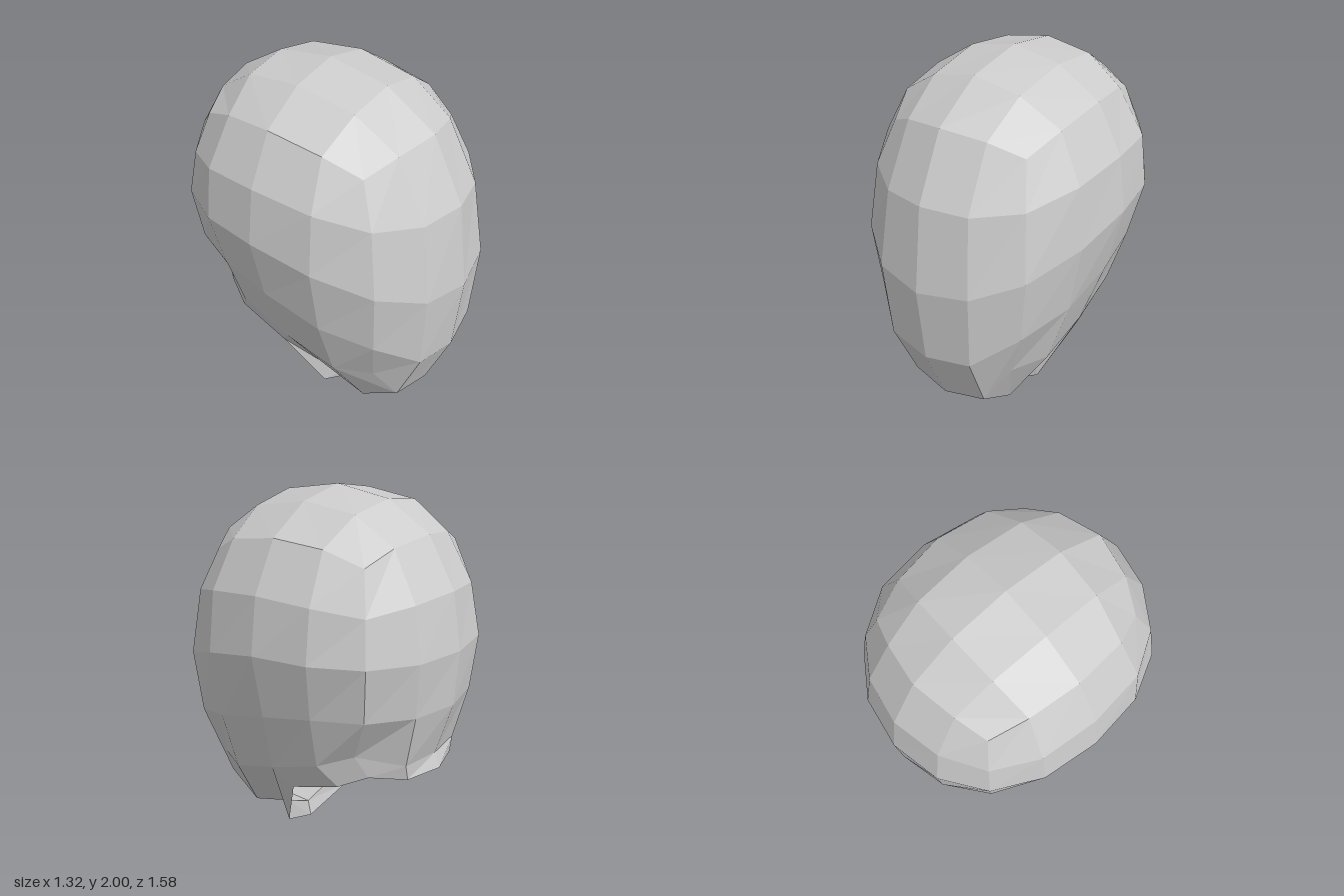
import * as THREE from 'three';

const material = new THREE.MeshStandardMaterial({ color: 0xcccccc, flatShading: true, side: THREE.DoubleSide });

// Flat-shaded quads over rows of [x, y, z] points
function gridMesh(rows, name) {
  const pos = [];
  for (let i = 0; i < rows.length - 1; i++) {
    for (let j = 0; j < rows[i].length - 1; j++) {
      const a = rows[i][j], b = rows[i][j + 1], c = rows[i + 1][j + 1], d = rows[i + 1][j];
      pos.push(...a, ...b, ...c, ...a, ...c, ...d);
    }
  }
  const geo = new THREE.BufferGeometry();
  geo.setAttribute('position', new THREE.Float32BufferAttribute(pos, 3));
  geo.computeVertexNormals();
  const mesh = new THREE.Mesh(geo, material);
  mesh.name = name;
  return mesh;
}

// Mirrored row in reversed order, so faces keep pointing outward
const mirrorRow = row => row.map(([x, y, z]) => [-x, y, z]).reverse();

// Lengthwise lines from under the chin, up the face, over the crown, down the back
const middle = [
  [0, 0.09, 0.18], [0, 0.09, 0.40], [0, 0.24, 0.61], [0, 0.57, 0.75], [0, 0.99, 0.79],
  [0, 1.44, 0.73], [0, 1.77, 0.56], [0, 1.94, 0.29], [0, 2.0, -0.04], [0, 1.96, -0.35],
  [0, 1.82, -0.59], [0, 1.57, -0.74], [0, 1.28, -0.79], [0, 0.99, -0.77], [0, 0.70, -0.68],
];
const quarter = [
  [0.25, 0.235, 0.11], [0.25, 0.155, 0.36], [0.23, 0.27, 0.57], [0.25, 0.60, 0.71], [0.27, 1.02, 0.735],
  [0.24, 1.43, 0.675], [0.23, 1.74, 0.51], [0.25, 1.89, 0.28], [0.26, 1.95, -0.04], [0.25, 1.92, -0.34],
  [0.23, 1.79, -0.55], [0.25, 1.55, -0.69], [0.27, 1.28, -0.74], [0.25, 0.99, -0.715], [0.22, 0.70, -0.65],
];
const edge = [
  [0.475, 0.575, 0.02], [0.45, 0.48, 0.30], [0.35, 0.47, 0.49], [0.45, 0.75, 0.55], [0.485, 1.10, 0.57],
  [0.45, 1.45, 0.52], [0.39, 1.67, 0.43], [0.46, 1.76, 0.25], [0.485, 1.81, -0.04], [0.45, 1.79, -0.31],
  [0.39, 1.72, -0.50], [0.455, 1.51, -0.56], [0.49, 1.28, -0.59], [0.455, 0.99, -0.56], [0.38, 0.75, -0.45],
];
const behindJaw = [0.47, 0.68, -0.28];

export function createModel() {
  const group = new THREE.Group();
  group.name = 'head';

  // Central band: chin, face, crown and back of the skull
  const band = middle.map((m, i) => {
    const half = [quarter[i], edge[i]];
    return [...mirrorRow(half), m, ...half];
  });
  group.add(gridMesh(band, 'faceCrownAndBack'));

  // Side patch, rows from jaw up to temple, each running front to back
  const side = [
    [edge[2], edge[1], edge[0], behindJaw, edge[14]],
    [edge[3], [0.56, 0.83, 0.29], [0.585, 0.92, -0.03], [0.555, 0.975, -0.31], edge[13]],
    [edge[4], [0.62, 1.20, 0.29], [0.66, 1.27, -0.04], [0.62, 1.28, -0.345], edge[12]],
    [edge[5], [0.585, 1.52, 0.28], [0.62, 1.56, -0.04], [0.585, 1.55, -0.34], edge[11]],
    edge.slice(6, 11),
  ];
  group.add(gridMesh(side, 'leftSide'));
  group.add(gridMesh(side.map(mirrorRow), 'rightSide'));

  // Short rim hanging from the open neck edge
  const rim = [
    [[0, 0, 0.16], [0.26, 0.12, 0.10], [0.41, 0.46, -0.07], [0.40, 0.56, -0.36],
      [0.33, 0.63, -0.50], [0.20, 0.615, -0.65], [0, 0.62, -0.71]],
    [middle[0], quarter[0], edge[0], behindJaw, edge[14], quarter[14], middle[14]],
  ];
  group.add(gridMesh(rim, 'leftNeckRim'));
  group.add(gridMesh(rim.map(mirrorRow), 'rightNeckRim'));

  return group;
}
